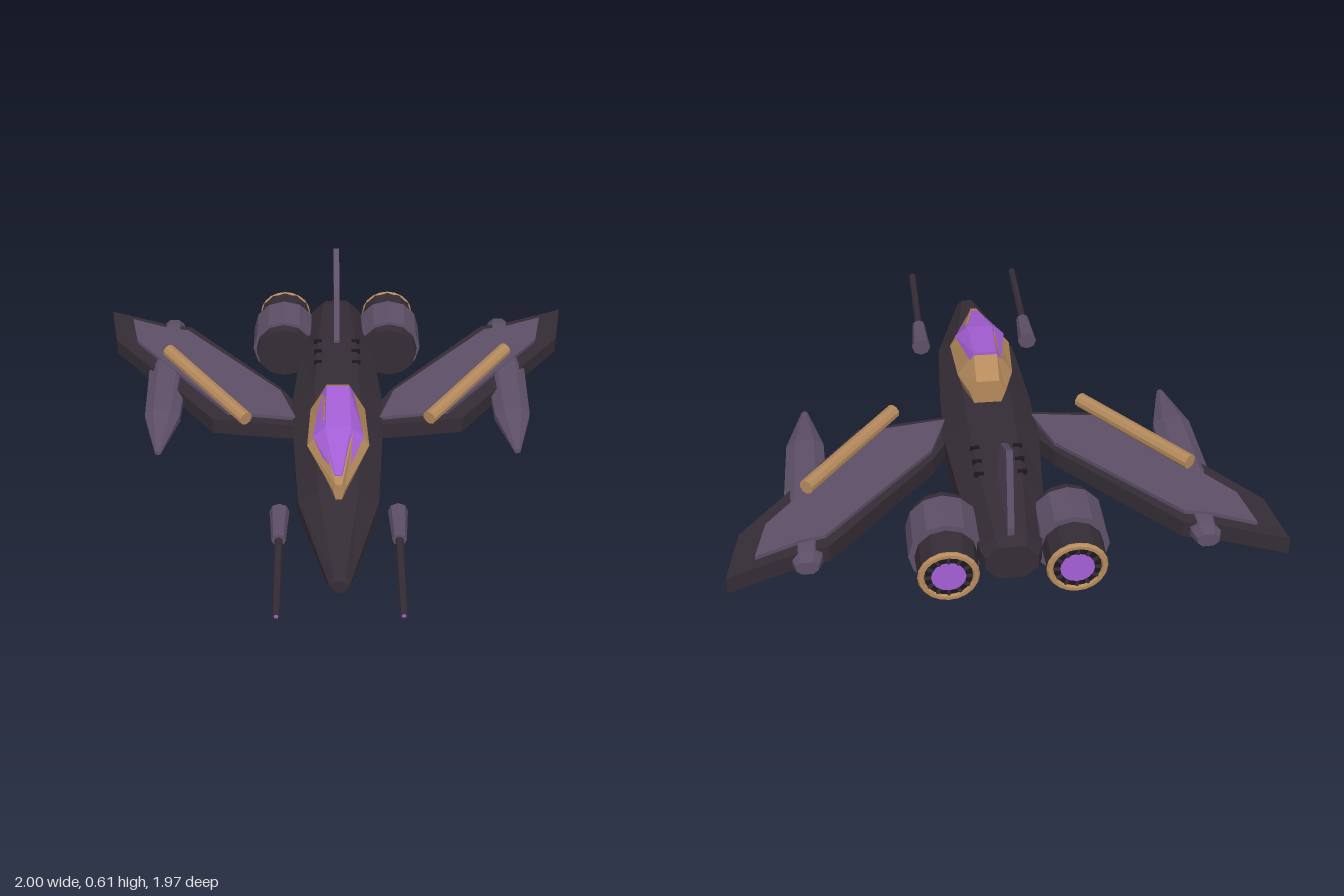
import * as THREE from 'three';

const mat = (name, color) => Object.assign(new THREE.MeshStandardMaterial({ color }), { name });

export function createModel() {
  const hull = mat('dark hull', 0x352d36);
  const plate = mat('violet grey plating', 0x5e5068);
  const tan = mat('tan trim', 0xb58a5c);
  const glow = mat('purple glass', 0xa45fd6);
  const black = mat('vent black', 0x1c181d);
  const model = new THREE.Group();
  model.name = 'starfighter';

  const add = (name, geo, material, x = 0, y = 0, z = 0, parent = model) => {
    const g = geo.index ? geo.toNonIndexed() : geo;
    g.computeVertexNormals();
    const m = new THREE.Mesh(g, material);
    m.name = name;
    m.position.set(x, y, z);
    parent.add(m);
    return m;
  };

  // Faceted skin over sections [z, ring], nose to tail, rings counter-clockwise from the front
  const loft = (sections) => {
    const n = sections[0][1].length, pos = [], idx = [], last = (sections.length - 1) * n;
    for (const [z, ring] of sections) for (const [x, y] of ring) pos.push(x, y, z);
    for (let i = 0; i < sections.length - 1; i++) for (let j = 0; j < n; j++) {
      const a = i * n + j, b = i * n + (j + 1) % n;
      idx.push(a, a + n, b + n, a, b + n, b);
    }
    for (let j = 1; j < n - 1; j++) idx.push(0, j, j + 1, last, last + j + 1, last + j);
    const g = new THREE.BufferGeometry();
    g.setAttribute('position', new THREE.Float32BufferAttribute(pos, 3));
    g.setIndex(idx);
    return g;
  };
  // Symmetric ring from right-hand points listed bottom to top
  const mirrorRing = (pts) => [...pts, ...pts.slice().reverse().map(([x, y]) => [-x, y])];
  const octagon = (w, lo, hi) => {
    const h = hi - lo;
    return mirrorRing([[w * 0.5, lo], [w, lo + h * 0.32], [w, lo + h * 0.68], [w * 0.5, hi]]);
  };
  // Cylinder along z
  const rod = (rFront, rBack, len, sides, open = false) =>
    new THREE.CylinderGeometry(rFront, rBack, len, sides, 1, open).rotateX(Math.PI / 2);
  // Horizontal slab from [x, z] outline
  const slab = (pts, side, y0, y1) => new THREE.ExtrudeGeometry(
    new THREE.Shape(pts.map(([x, z]) => new THREE.Vector2(x * side, -z))),
    { depth: y1 - y0, bevelEnabled: false }).rotateX(-Math.PI / 2).translate(0, y0, 0);

  // Fuselage: [z, half width, bottom, top]
  add('fuselage', loft([
    [0.785, 0.03, 0.13, 0.185], [0.77, 0.042, 0.12, 0.195], [0.37, 0.155, 0.08, 0.27],
    [0.0, 0.178, 0.063, 0.295], [-0.25, 0.185, 0.06, 0.305], [-0.6, 0.155, 0.075, 0.305],
    [-0.9, 0.112, 0.11, 0.285], [-0.945, 0.095, 0.125, 0.27],
  ].map(([z, w, lo, hi]) => [z, octagon(w, lo, hi)])), hull);

  // Cockpit frame: [z, base width, mid width, mid y, top width, top y]
  const frame = [
    [0.45, 0.012, 0.022, 0.335, 0.012, 0.36], [0.2, 0.085, 0.12, 0.35, 0.06, 0.428],
    [-0.02, 0.085, 0.108, 0.36, 0.045, 0.462], [-0.13, 0.05, 0.07, 0.35, 0.045, 0.4],
  ];
  add('cockpitFrame', loft(frame.map(([z, bw, mw, my, tw, ty]) =>
    [z, mirrorRing([[bw, 0.29], [mw, my], [tw, ty]])])), tan);
  add('canopyGlass', loft([
    [0.41, 0.02, 0.352, 0.012, 0.376], [0.2, 0.099, 0.395, 0.05, 0.438], [-0.03, 0.062, 0.435, 0.044, 0.467],
  ].map(([z, w, y, tw, ty]) => [z, mirrorRing([[w, y], [tw, ty]])])), glow);

  // Tail fin
  const fin = new THREE.Shape([[0.56, 0.29], [0.9, 0.27], [0.9, 0.32], [0.83, 0.61], [0.66, 0.51], [0.56, 0.32]]
    .map(([z, y]) => new THREE.Vector2(z, y)));
  add('tailFin', new THREE.ExtrudeGeometry(fin, { depth: 0.024, bevelEnabled: false })
    .rotateY(Math.PI / 2).translate(-0.012, 0, 0), plate);

  // Belly pack
  add('bellyPack', loft([
    [-0.07, 0.09, 0.03, 0.048], [-0.085, 0.105, 0.022, 0.055], [-0.365, 0.105, 0.022, 0.055], [-0.38, 0.09, 0.03, 0.048],
  ].map(([z, w, lo, hi]) => [z, mirrorRing([[w * 0.9, lo], [w, lo + 0.008], [w, hi - 0.008], [w * 0.9, hi]])])), hull);
  add('bellyMount', new THREE.BoxGeometry(0.14, 0.04, 0.24), hull, 0, 0.065, -0.225);

  const wingOutline = [[0.14, -0.1], [0.2, -0.105], [0.51, -0.145], [0.8, -0.52], [0.96, -0.72], [1, -0.945],
    [0.76, -0.845], [0.64, -0.815], [0.235, -0.36], [0.14, -0.2]];
  const panelOutline = [[0.17, -0.135], [0.45, -0.175], [0.865, -0.69], [0.9, -0.86], [0.74, -0.79],
    [0.65, -0.77], [0.235, -0.32]];

  for (const side of [1, -1]) {
    const label = side > 0 ? 'left' : 'right';
    const half = new THREE.Group();
    half.name = label + 'Side';
    model.add(half);
    const part = (name, geo, m, x = 0, y = 0, z = 0) => add(name, geo, m, x * side, y, z, half);

    // Wing with raised panel
    part('wing', slab(wingOutline, side, 0.147, 0.217), hull);
    part('wingPanel', slab(panelOutline, side, 0.216, 0.233), plate);

    // Wing pod
    part('wingPod', loft([
      [0.03, 0.012, 0.172, 0.19], [-0.2, 0.072, 0.14, 0.225], [-0.53, 0.082, 0.127, 0.23],
      [-0.7, 0.058, 0.138, 0.225], [-0.84, 0.055, 0.142, 0.22], [-0.885, 0.04, 0.155, 0.21],
    ].map(([z, w, lo, hi]) => [z, octagon(w, lo, hi)])), plate, 0.72);

    // Tan tube lying along the wing
    const a = new THREE.Vector3(0.37 * side, 0.258, -0.095), b = new THREE.Vector3(0.715 * side, 0.277, -0.55);
    const tube = part('wingTube', new THREE.CylinderGeometry(0.029, 0.029, a.distanceTo(b), 10), tan);
    tube.position.copy(a).lerp(b, 0.5);
    tube.quaternion.setFromUnitVectors(new THREE.Vector3(0, 1, 0), b.clone().sub(a).normalize());

    // Nose gun
    part('gunBase', rod(0.027, 0.038, 0.165, 8), plate, 0.225, 0.203, 0.4975);
    part('gunBarrel', rod(0.015, 0.015, 0.41, 8), hull, 0.225, 0.203, 0.775);
    part('gunMuzzle', rod(0.008, 0.008, 0.004, 8), glow, 0.225, 0.203, 0.98);

    // Engine
    const ex = 0.228, ey = 0.185;
    part('engineIntake', rod(0.118, 0.122, 0.05, 12), hull, ex, ey, -0.685);
    part('engineCowl', rod(0.135, 0.135, 0.165, 12), plate, ex, ey, -0.782);
    part('engineNozzle', rod(0.113, 0.108, 0.12, 12), hull, ex, ey, -0.915);
    part('nozzleRing', new THREE.TorusGeometry(0.098, 0.013, 6, 20), tan, ex, ey, -0.977);
    part('nozzleBack', rod(0.09, 0.09, 0.006, 16), black, ex, ey, -0.976);
    part('engineGlow', rod(0.062, 0.062, 0.006, 16), glow, ex, ey, -0.981);
    for (let i = 0; i < 12; i++) {
      const t = i * Math.PI / 6;
      const vane = part('nozzleVane', new THREE.BoxGeometry(0.022, 0.01, 0.008), hull, ex, ey, -0.982);
      vane.position.x += Math.cos(t) * 0.074;
      vane.position.y += Math.sin(t) * 0.074;
      vane.rotation.z = t;
    }

    // Deck vents and belly rail
    for (const z of [-0.42, -0.5, -0.575]) part('deckVent', new THREE.BoxGeometry(0.035, 0.016, 0.014), black, 0.08, 0.303, z);
    part('bellyRail', new THREE.BoxGeometry(0.016, 0.016, 0.19), tan, 0.115, 0.008, -0.225);
  }
  return model;
}
